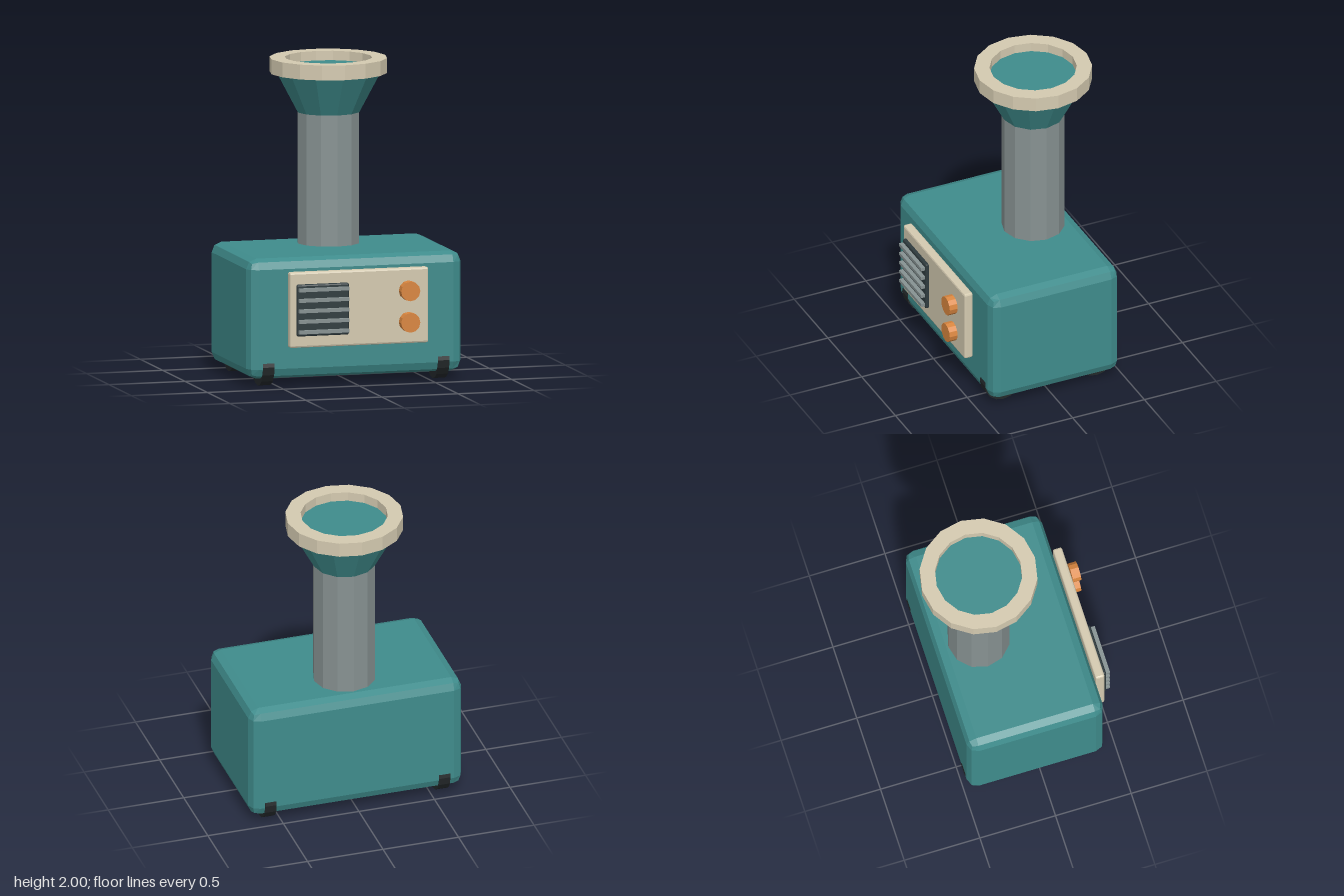
import * as THREE from 'three';
import { RoundedBoxGeometry } from 'three/addons/geometries/RoundedBoxGeometry.js';

const mat = (color) => new THREE.MeshStandardMaterial({ color, flatShading: true });

export function createModel() {
  const model = new THREE.Group();
  model.name = 'toyEngine';
  const teal = mat(0x3f8c8c), cream = mat(0xd4cab0), grey = mat(0x879292);
  const dark = mat(0x2f3b3e), black = mat(0x23282a), orange = mat(0xd9863f);

  const add = (name, geometry, material, x, y, z) => {
    const mesh = new THREE.Mesh(geometry, material);
    mesh.name = name;
    mesh.position.set(x, y, z);
    model.add(mesh);
    return mesh;
  };
  // box with a two-facet chamfer on every edge
  const bevelBox = (w, h, d, r) => new RoundedBoxGeometry(w, h, d, 1, r);

  // main body
  add('body', bevelBox(1.408, 0.765, 0.9, 0.065), teal, 0, 0.4375, -0.025);

  // wheels, mostly sunk into the body
  for (const x of [-0.575, 0.575]) {
    for (const z of [0.3, -0.35]) {
      const wheel = new THREE.CylinderGeometry(0.13, 0.13, 0.075, 16);
      wheel.rotateZ(Math.PI / 2);
      add('wheel', wheel, black, x, 0.132, z);
    }
  }

  // chimney: pipe, flared funnel and rim
  const stackZ = -0.195;
  add('chimneyPipe', new THREE.CylinderGeometry(0.2, 0.2, 0.9, 12), grey, 0, 1.21, stackZ);
  add('chimneyFunnel', new THREE.CylinderGeometry(0.353, 0.2, 0.285, 12), teal, 0, 1.7975, stackZ);
  const rimProfile = [[0.276, 1.905], [0.373, 1.905], [0.373, 2], [0.276, 2], [0.276, 1.905]]
    .map(([r, y]) => new THREE.Vector2(r, y));
  add('chimneyRim', new THREE.LatheGeometry(rimProfile, 16), cream, 0, 0, stackZ);

  // front control panel
  add('panel', bevelBox(0.912, 0.48, 0.06, 0.012), cream, 0, 0.5, 0.467);

  // grille with five slats
  add('grilleBack', bevelBox(0.342, 0.33, 0.03, 0.01), dark, -0.244, 0.5, 0.505);
  for (let i = -2; i <= 2; i++) {
    add('grilleSlat', new THREE.BoxGeometry(0.326, 0.022, 0.03), grey, -0.244, 0.498 + i * 0.067, 0.532);
  }

  // knobs
  for (const y of [0.6, 0.4]) {
    const knob = new THREE.CylinderGeometry(0.063, 0.063, 0.055, 12);
    knob.rotateX(Math.PI / 2);
    add('knob', knob, orange, 0.318, y, 0.5375);
  }
  return model;
}
